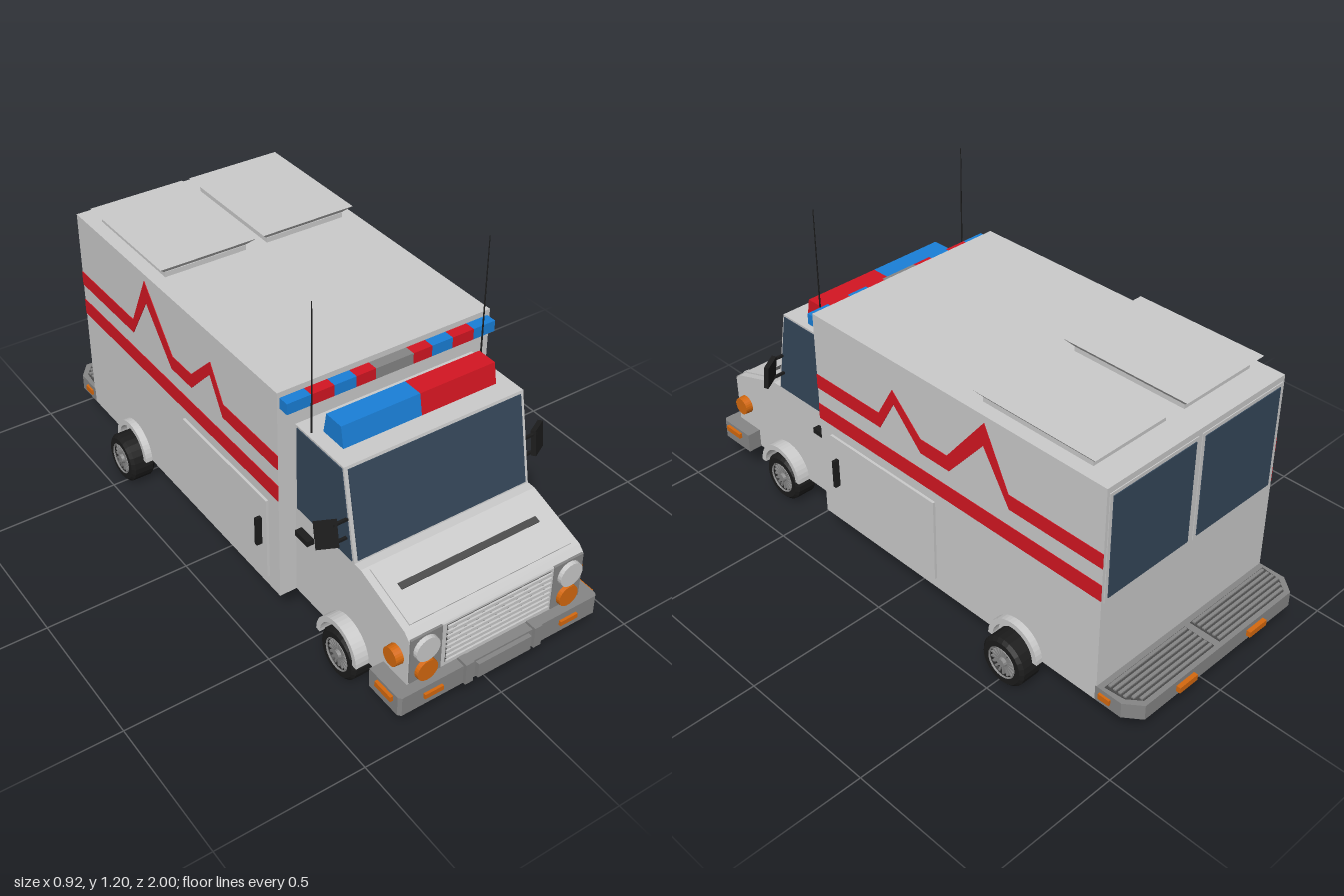
import * as THREE from 'three';

const mat = (color) => new THREE.MeshStandardMaterial({ color, flatShading: true });
const M = {
  grey: mat(0xcccccc), steel: mat(0x868686), dark: mat(0x4a4a4a), black: mat(0x1c1c1c),
  glass: mat(0x35475a), red: mat(0xd41622), blue: mat(0x1a80d8), orange: mat(0xd5690f),
};

export function createModel() {
  const root = new THREE.Group();
  const add = (name, geo, m, parent = root) => {
    const mesh = new THREE.Mesh(geo, m);
    mesh.name = name;
    parent.add(mesh);
    return mesh;
  };
  // Box given by its limits on each axis
  const box = (name, x0, x1, y0, y1, z0, z1, m, parent) => {
    const mesh = add(name, new THREE.BoxGeometry(Math.abs(x1 - x0), y1 - y0, z1 - z0), m, parent);
    mesh.position.set((x0 + x1) / 2, (y0 + y1) / 2, (z0 + z1) / 2);
    return mesh;
  };
  const shape = (pts) => new THREE.Shape(pts.map((p) => new THREE.Vector2(...p)));
  // Side outline in (z, y), extruded from x0 to x1
  const side = (name, s, x0, x1, m) => {
    const g = new THREE.ExtrudeGeometry(s, { depth: x1 - x0, bevelEnabled: false, curveSegments: 10 });
    g.rotateY(-Math.PI / 2).translate(x1, 0, 0);
    return add(name, g, m);
  };
  // Side outline on both flanks
  const sides = (name, s, x0, x1, m) => {
    side(name, s, x0, x1, m);
    side(name, s, -x1, -x0, m);
  };
  // Plan outline in (x, z), extruded from y0 to y1
  const plan = (name, pts, y0, y1, m) => {
    const g = new THREE.ExtrudeGeometry(shape(pts.map(([x, z]) => [x, -z])), { depth: y1 - y0, bevelEnabled: false });
    g.rotateX(-Math.PI / 2).translate(0, y0, 0);
    return add(name, g, m);
  };
  // Tapered block: bottom and top rectangles [x0, x1, z0, z1]
  const taper = (name, b, t, y0, y1, m) => {
    const g = new THREE.BoxGeometry(1, 1, 1);
    const p = g.attributes.position;
    for (let i = 0; i < p.count; i++) {
      const r = p.getY(i) > 0 ? t : b;
      p.setXYZ(i, p.getX(i) < 0 ? r[0] : r[1], p.getY(i) > 0 ? y1 : y0, p.getZ(i) < 0 ? r[2] : r[3]);
    }
    g.computeVertexNormals();
    return add(name, g, m);
  };

  // Rear body and cab
  box('body', -0.385, 0.385, 0.115, 0.89, -0.835, 0.39, M.grey);
  side('cab', shape([[0.38, 0.115], [0.95, 0.115], [0.95, 0.355], [0.93, 0.375], [0.72, 0.445],
    [0.69, 0.445], [0.63, 0.757], [0.38, 0.757]]), -0.324, 0.324, M.grey);
  const hoodPanel = box('hoodPanel', -0.3, 0.3, -0.004, 0.004, -0.1, 0.1, M.grey);
  hoodPanel.position.set(0, 0.411, 0.825);
  const hoodVent = box('hoodVent', -0.256, 0.256, -0.003, 0.003, -0.011, 0.011, M.dark);
  hoodVent.position.set(0, 0.419, 0.814);
  hoodPanel.rotation.x = hoodVent.rotation.x = Math.atan(0.07 / 0.21);

  // Glass
  const windshield = box('windshield', -0.312, 0.312, -0.15, 0.15, -0.003, 0.003, M.glass);
  windshield.position.set(0, 0.6, 0.661);
  windshield.rotation.x = -Math.atan(0.06 / 0.312);
  sides('cabSideWindow', shape([[0.4, 0.45], [0.68, 0.45], [0.624, 0.75], [0.4, 0.75]]), 0.322, 0.327, M.glass);
  for (const s of [-1, 1]) {
    box('rearWindowFrame', s * 0.008, s * 0.375, 0.485, 0.87, -0.838, -0.83, M.grey);
    box('rearWindow', s * 0.02, s * 0.363, 0.5, 0.858, -0.841, -0.83, M.glass);
  }

  // Side stripes
  sides('lowerStripe', shape([[-0.835, 0.497], [0.39, 0.497], [0.39, 0.555], [-0.835, 0.555]]), 0.38, 0.387, M.red);
  sides('pulseStripe', shape([
    [0.39, 0.667], [0.09, 0.667], [0.022, 0.785], [-0.1, 0.667], [-0.215, 0.667], [-0.373, 0.866], [-0.472, 0.667], [-0.835, 0.667],
    [-0.835, 0.615], [-0.475, 0.615], [-0.37, 0.785], [-0.225, 0.615], [-0.1, 0.615], [0.017, 0.735], [0.085, 0.615], [0.39, 0.615],
  ]), 0.38, 0.387, M.red);

  for (const s of [-1, 1]) {
    // Side doors and handles
    box('sideDoor', s * 0.38, s * 0.394, 0.155, 0.46, -0.158, 0.333, M.grey);
    box('sideDoorHandle', s * 0.39, s * 0.414, 0.275, 0.38, 0.296, 0.308, M.black);
    box('cabDoorHandle', s * 0.32, s * 0.348, 0.368, 0.388, 0.42, 0.485, M.black);

    // Mirrors
    const mirror = new THREE.Group();
    mirror.name = 'mirror';
    mirror.position.set(s * 0.39, 0.555, 0.642);
    mirror.rotation.set(-0.15, s * 0.53, 0);
    root.add(mirror);
    box('mirrorHousing', -0.034, 0.034, -0.044, 0.044, -0.008, 0.008, M.black, mirror);
    for (const y of [0.52, 0.588]) box('mirrorArm', s * 0.32, s * 0.375, y - 0.004, y + 0.004, 0.648, 0.657, M.black);

    // Antennas
    const antenna = add('antenna', new THREE.CylinderGeometry(0.0015, 0.003, 0.45, 6), M.black);
    antenna.position.set(s * 0.308, 0.975, 0.45);

    // Roof hatches
    const a = s < 0 ? -0.338 : 0.04, b = s < 0 ? -0.04 : 0.338;
    box('hatchBase', a, b, 0.88, 0.908, -0.742, -0.32, M.grey);
    taper('hatchLid', [a, b, -0.742, -0.325], [a - 0.026, b + 0.026, -0.77, -0.297], 0.906, 0.934, M.grey);

    // Headlights and turn signals
    const lamp = (name, r, x, y, z, m, axis) => {
      const l = add(name, new THREE.CylinderGeometry(r * 0.94, r, 0.03, 24), m);
      if (axis === 'x') l.rotation.z = -s * Math.PI / 2;
      else l.rotation.x = Math.PI / 2;
      l.position.set(x, y, z);
    };
    box('lampPanel', s * 0.208, s * 0.32, 0.19, 0.357, 0.94, 0.956, M.steel);
    lamp('headlight', 0.045, s * 0.267, 0.308, 0.955, M.grey);
    lamp('turnSignal', 0.039, s * 0.265, 0.224, 0.955, M.orange);
    lamp('sideSignal', 0.033, s * 0.335, 0.268, 0.9, M.orange, 'x');
    box('frontBumperLight', s * 0.222, s * 0.289, 0.142, 0.159, 0.97, 0.994, M.orange);
    box('frontSideMarker', s * 0.36, s * 0.385, 0.154, 0.173, 0.88, 0.955, M.orange);
    box('bumperGuard', s * 0.115, s * 0.144, 0.115, 0.193, 0.95, 0.996, M.steel);
    box('rearBumperLight', s * 0.125, s * 0.205, 0.132, 0.153, -1, -0.97, M.orange);
    box('rearSideMarker', s * 0.375, s * 0.393, 0.135, 0.155, -0.89, -0.848, M.orange);

    // Ribbed step on the rear bumper
    plan('stepPad', [[s * 0.013, -0.855], [s * 0.372, -0.855], [s * 0.365, -0.925], [s * 0.33, -0.968], [s * 0.013, -0.968]], 0.165, 0.172, M.dark);
    for (let i = 0; i < 6; i++) {
      const z = -0.864 - i * 0.019;
      box('stepRib', s * 0.018, s * (i < 4 ? 0.362 : 0.362 - (i - 3) * 0.014), 0.168, 0.177, z - 0.005, z + 0.005, M.steel);
    }
  }

  // Grille
  box('grilleFrame', -0.205, 0.205, 0.19, 0.357, 0.94, 0.955, M.grey);
  box('grilleRecess', -0.193, 0.193, 0.203, 0.35, 0.945, 0.957, M.dark);
  for (let i = 0; i < 8; i++) {
    const y = 0.209 + i * 0.0193;
    box('grilleSlat', -0.193, 0.193, y - 0.0055, y + 0.0055, 0.95, 0.963, M.grey);
  }

  // Bumpers
  plan('frontBumper', [[-0.374, 0.84], [0.374, 0.84], [0.374, 0.975], [0.365, 0.985], [-0.365, 0.985], [-0.374, 0.975]], 0.113, 0.183, M.steel);
  box('numberPlate', -0.1, 0.1, 0.122, 0.176, 0.97, 1, M.steel);
  plan('rearBumper', [[-0.385, -0.83], [-0.385, -0.93], [-0.342, -0.985], [0.342, -0.985], [0.385, -0.93], [0.385, -0.83]], 0.115, 0.17, M.steel);

  // Roof beacons and light bar
  taper('blueBeacon', [-0.277, 0, 0.463, 0.562], [-0.277, 0, 0.477, 0.549], 0.755, 0.828, M.blue);
  taper('redBeacon', [0, 0.277, 0.463, 0.562], [0, 0.277, 0.477, 0.549], 0.755, 0.828, M.red);
  const cuts = [0.068, 0.137, 0.214, 0.294, 0.376];
  box('lightBarCentre', -0.068, 0.068, 0.833, 0.871, 0.385, 0.427, M.steel);
  for (const s of [-1, 1]) for (let i = 0; i < 4; i++) {
    box('lightBarSegment', s * cuts[i], s * cuts[i + 1], 0.833, 0.871, 0.385, 0.427, i % 2 ? M.blue : M.red);
  }

  // Wheels, fenders and axles
  const tyreProfile = [[0.05, -0.044], [0.076, -0.045], [0.087, -0.034], [0.087, 0.034], [0.076, 0.045], [0.054, 0.045], [0.05, 0.03], [0, 0.03]]
    .map((p) => new THREE.Vector2(...p));
  const wheel = (x, z) => {
    const g = new THREE.Group();
    g.name = 'wheel';
    add('tyre', new THREE.LatheGeometry(tyreProfile, 24), M.black, g);
    add('tyreBack', new THREE.CylinderGeometry(0.055, 0.055, 0.02, 24), M.black, g).position.y = -0.034;
    for (let i = 0; i < 18; i++) {
      const a = i * Math.PI / 9;
      const spoke = add('spoke', new THREE.BoxGeometry(0.036, 0.008, 0.007), M.steel, g);
      spoke.position.set(Math.cos(a) * 0.035, 0.034, -Math.sin(a) * 0.035);
      spoke.rotation.y = a;
    }
    add('rim', new THREE.TorusGeometry(0.054, 0.004, 4, 24).rotateX(Math.PI / 2), M.steel, g).position.y = 0.043;
    add('hub', new THREE.CylinderGeometry(0.014, 0.02, 0.02, 12), M.steel, g).position.y = 0.038;
    g.rotation.z = x > 0 ? -Math.PI / 2 : Math.PI / 2;
    g.position.set(x, 0.087, z);
    root.add(g);
  };
  for (const [z, x, f0, f1] of [[0.668, 0.322, 0.3, 0.37], [-0.517, 0.41, 0.36, 0.41]]) {
    wheel(x, z);
    wheel(-x, z);
    const arch = new THREE.Shape();
    arch.absarc(z, 0.115, 0.103, 0, Math.PI, false);
    arch.absarc(z, 0.115, 0.084, Math.PI, 0, true);
    sides('fender', arch, f0, f1, M.grey);
    const axle = add('axle', new THREE.CylinderGeometry(0.018, 0.018, x * 2 - 0.06, 12), M.steel);
    axle.rotation.z = Math.PI / 2;
    axle.position.set(0, 0.087, z);
  }
  return root;
}
